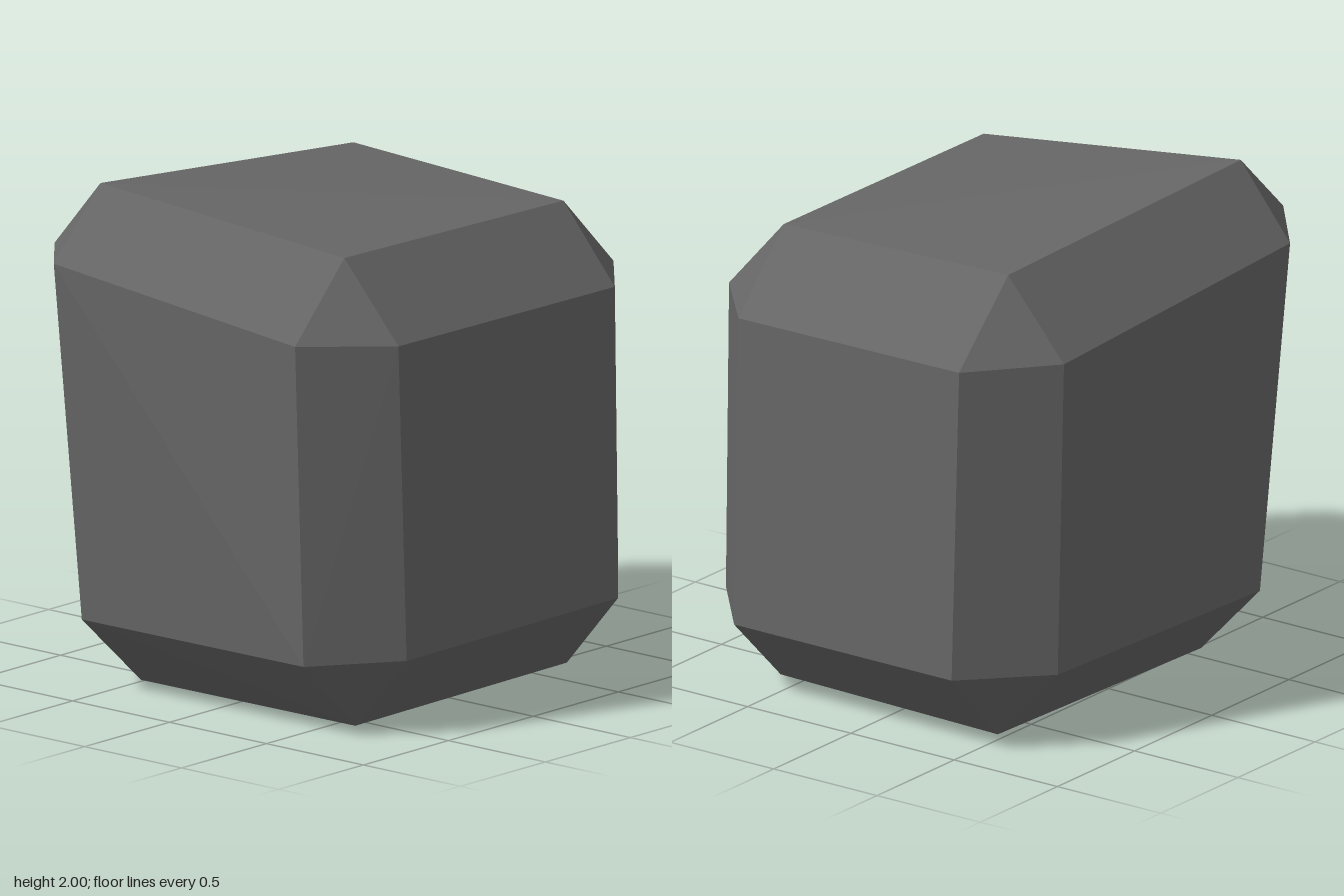
import * as THREE from 'three';
import { ConvexGeometry } from 'three/addons/geometries/ConvexGeometry.js';

// Each corner of the uneven block is cut into three points:
// one on the side face, one on the top or bottom face, one on the front or back face.
const corners = {
  topFrontLeft: [[0.83, 1.57, 0.6], [0.56, 1.88, 0.61], [0.56, 1.58, 0.9]],
  topFrontRight: [[-0.86, 1.715, 0.695], [-0.61, 2, 0.71], [-0.61, 1.73, 0.985]],
  topBackLeft: [[0.855, 1.57, -0.645], [0.59, 1.87, -0.645], [0.585, 1.57, -0.945]],
  topBackRight: [[-0.785, 1.6, -0.67], [-0.515, 1.91, -0.67], [-0.5, 1.59, -0.968]],
  bottomFrontLeft: [[0.855, 0.31, 0.58], [0.59, 0.005, 0.58], [0.59, 0.3, 0.885]],
  bottomFrontRight: [[-0.8, 0.3, 0.58], [-0.515, 0, 0.58], [-0.54, 0.3, 0.9]],
  bottomBackLeft: [[0.855, 0.32, -0.665], [0.59, 0.015, -0.665], [0.59, 0.31, -0.967]],
  bottomBackRight: [[-0.77, 0.32, -0.69], [-0.48, 0.01, -0.69], [-0.48, 0.32, -0.99]],
};

export function createModel() {
  const group = new THREE.Group();
  group.name = 'stone';

  const stoneGrey = new THREE.MeshStandardMaterial({ color: 0x666666 });
  stoneGrey.name = 'stoneGrey';

  // Flat-faced block with chamfered edges and corners
  const points = Object.values(corners).flat().map((p) => new THREE.Vector3(...p));
  const block = new THREE.Mesh(new ConvexGeometry(points), stoneGrey);
  block.name = 'chamferedBlock';
  group.add(block);

  return group;
}
